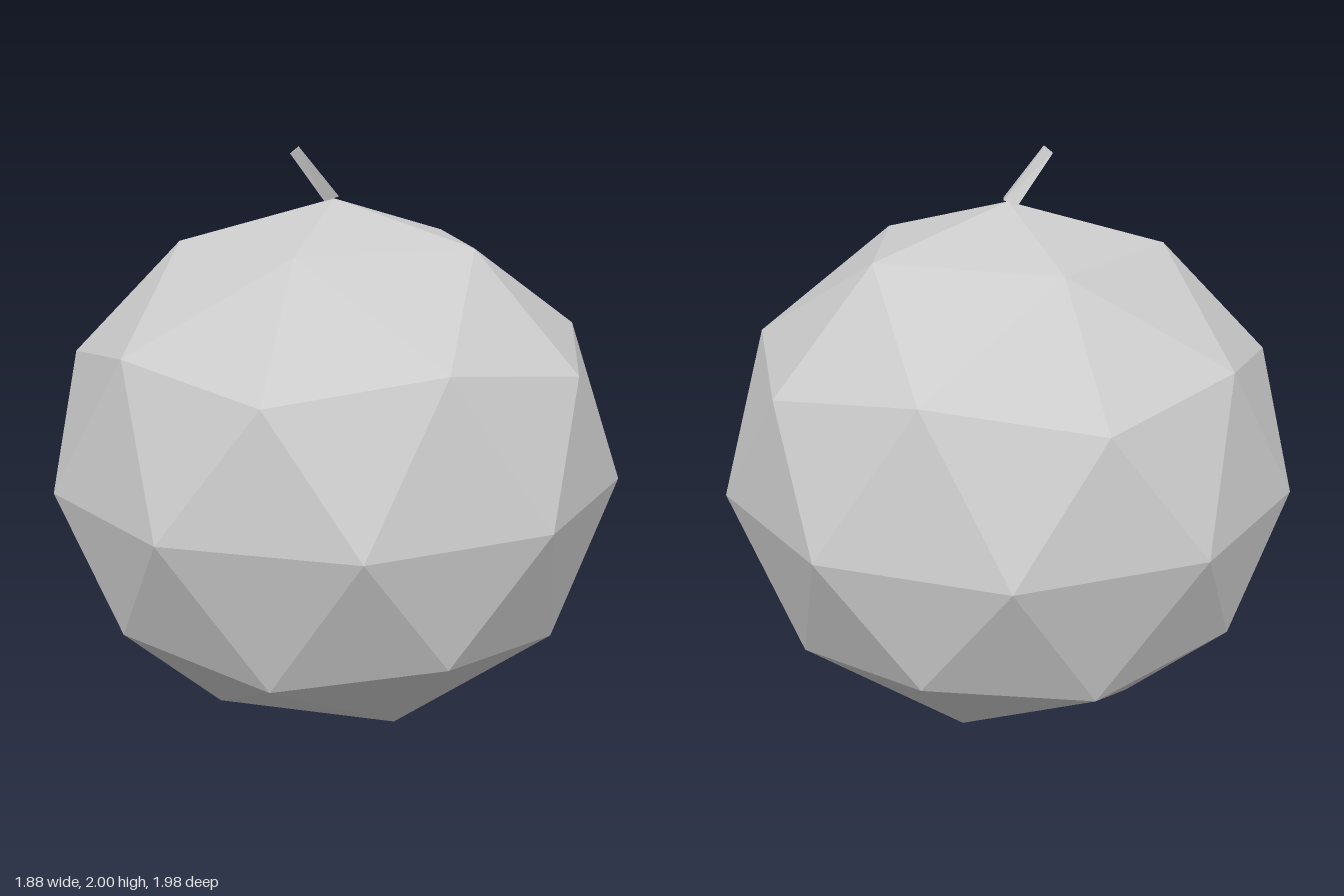
import * as THREE from 'three';

const grey = new THREE.MeshStandardMaterial({ color: 0xcccccc, flatShading: true });
grey.name = 'plain grey';

export function createModel() {
  const model = new THREE.Group();
  model.name = 'fruit';

  // Faceted body: icosphere turned so a corner points up, slightly squashed
  const golden = (1 + Math.sqrt(5)) / 2;
  const bodyGeometry = new THREE.IcosahedronGeometry(1, 1);
  bodyGeometry.rotateZ(Math.atan(1 / golden));
  bodyGeometry.scale(0.99, 0.915, 0.99);
  bodyGeometry.translate(0, 0.915, 0);
  bodyGeometry.computeVertexNormals();
  const body = new THREE.Mesh(bodyGeometry, grey);
  body.name = 'body';
  model.add(body);

  // Tapered stem: box whose ends are placed along a leaning line
  const stemGeometry = new THREE.BoxGeometry(2, 2, 2);
  const p = stemGeometry.attributes.position;
  for (let i = 0; i < p.count; i++) {
    const sx = p.getX(i), sz = p.getZ(i);
    if (p.getY(i) > 0) p.setXYZ(i, -0.135 + 0.014 * sx, 1.989 + 0.011 * sx, 0.067 + 0.018 * sz);
    else p.setXYZ(i, -0.01 + 0.024 * sx, 1.83 + 0.008 * sx, 0.028 * sz);
  }
  stemGeometry.computeVertexNormals();
  const stem = new THREE.Mesh(stemGeometry, grey);
  stem.name = 'stem';
  model.add(stem);

  return model;
}
